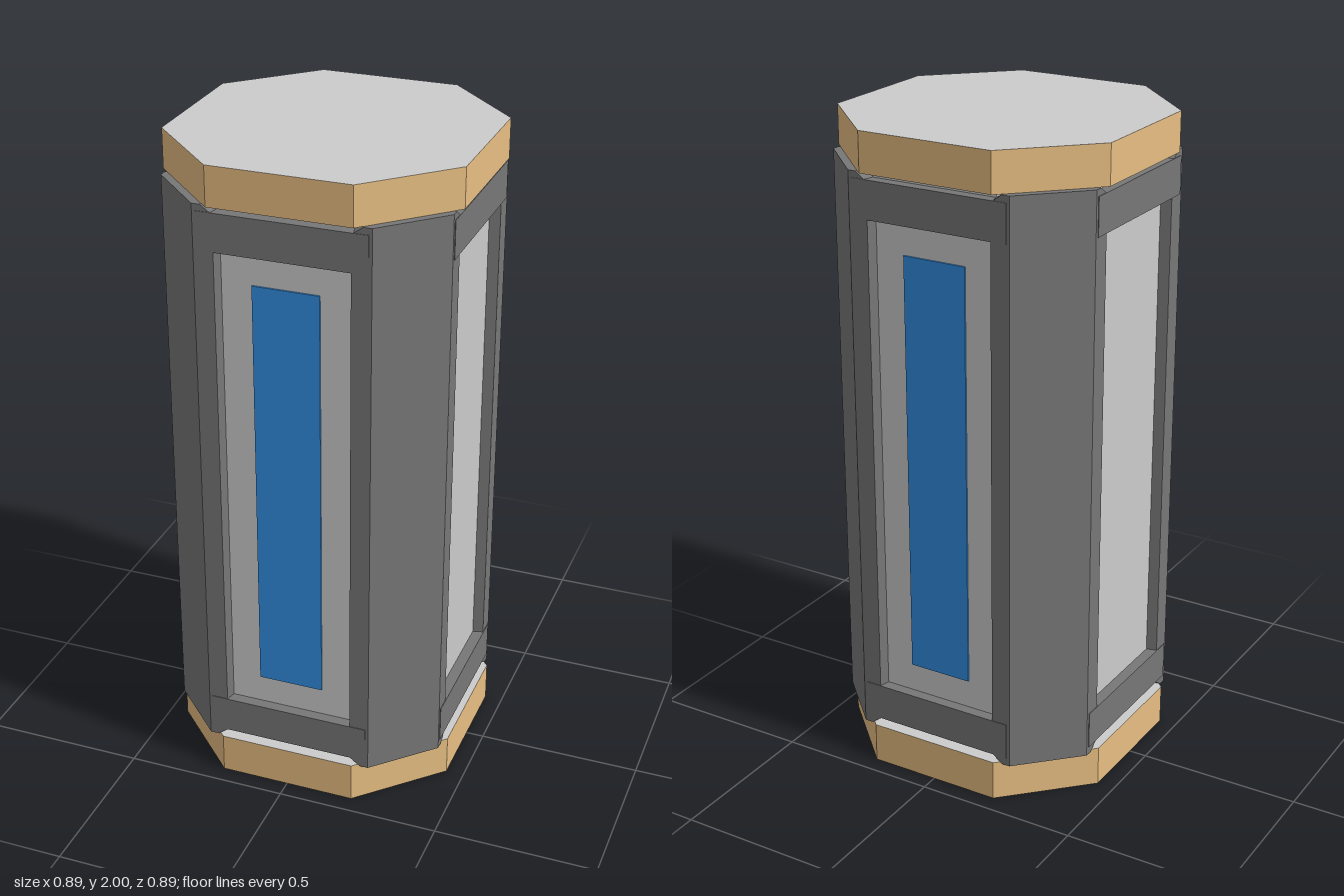
import * as THREE from 'three';
import { ConvexGeometry } from 'three/addons/geometries/ConvexGeometry.js';

const mat = (color) => new THREE.MeshStandardMaterial({ color, flatShading: true });
const grey = mat(0xcccccc), dark = mat(0x777777), tan = mat(0xe7be83), blue = mat(0x318ee3);

// Square with cut corners: half = distance to a main face, flat = half the width of that face
function octagonPrism(half, flat, y0, y1, materials, name) {
  const pts = [];
  for (let i = 0; i < 4; i++) {
    const c = Math.round(Math.cos(i * Math.PI / 2)), s = Math.round(Math.sin(i * Math.PI / 2));
    for (const t of [-flat, flat]) pts.push(new THREE.Vector2(half * c - t * s, half * s + t * c));
  }
  const geo = new THREE.ExtrudeGeometry(new THREE.Shape(pts), { depth: y1 - y0, bevelEnabled: false });
  geo.rotateX(-Math.PI / 2).translate(0, y0, 0);
  const mesh = new THREE.Mesh(geo, materials);
  mesh.name = name;
  return mesh;
}

function box(w, h, d, x, y, z, material, name) {
  const mesh = new THREE.Mesh(new THREE.BoxGeometry(w, h, d), material);
  mesh.position.set(x, y, z);
  mesh.name = name;
  return mesh;
}

// Corner pillar: slanted inner walls, ends trimmed beside the rails
function pillarGeometry() {
  const pts = [];
  for (const [y, inner, wall] of [[0.12, 0.235, 0.23], [0.145, 0.2, 0.19], [1.855, 0.2, 0.19], [1.88, 0.235, 0.23]]) {
    for (const [a, b] of [[inner, 0.43], [0.26, 0.43], [wall, 0.39]]) {
      pts.push(new THREE.Vector3(a, y, b), new THREE.Vector3(b, y, a));
    }
  }
  return new ConvexGeometry(pts);
}

export function createModel() {
  const model = new THREE.Group();
  model.name = 'octagonalCanister';

  // Inner body, whose faces form the recessed panels
  model.add(octagonPrism(0.398, 0.2, 0.11, 1.89, grey, 'core'));

  // End caps: grey faces with tan rims
  model.add(octagonPrism(0.445, 0.212, 0, 0.125, [grey, tan], 'bottomCap'));
  model.add(octagonPrism(0.445, 0.212, 1.88, 2, [grey, tan], 'topCap'));

  // Four sides, each with one corner pillar and two rails
  const pillarGeo = pillarGeometry();
  for (let i = 0; i < 4; i++) {
    const side = new THREE.Group();
    side.name = ['front', 'left', 'back', 'right'][i] + 'Side';
    side.rotation.y = i * Math.PI / 2;
    const pillar = new THREE.Mesh(pillarGeo, dark);
    pillar.name = 'cornerPillar';
    side.add(pillar);
    side.add(box(0.5, 0.115, 0.06, 0, 0.2025, 0.402, dark, 'lowerRail'));
    side.add(box(0.5, 0.115, 0.06, 0, 1.8025, 0.402, dark, 'upperRail'));
    // Blue strip on the front and back only
    if (i % 2 === 0) side.add(box(0.2, 1.3, 0.012, 0, 1, 0.397, blue, 'blueStrip'));
    model.add(side);
  }
  return model;
}
